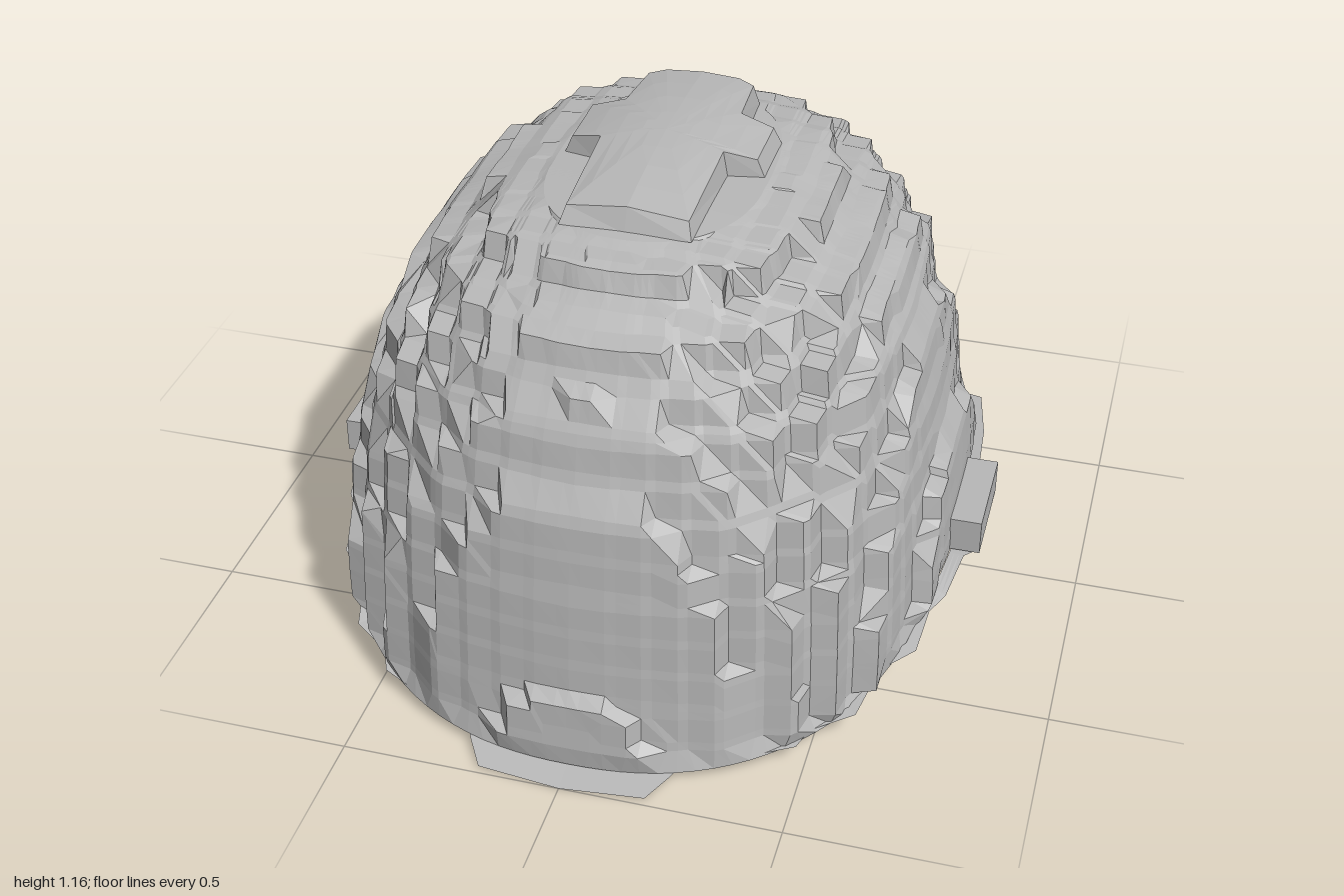
import * as THREE from 'three';

const MID = 0.11; // z of the dome axis
// height, half width, front z, back z (the last ring is open under the crown plate)
const PROFILE = [
  [0, 0.71, 0.94, -0.72], [0.2, 0.72, 0.92, -0.715], [0.4, 0.70, 0.90, -0.66],
  [0.6, 0.65, 0.87, -0.61], [0.8, 0.585, 0.80, -0.56], [0.95, 0.48, 0.71, -0.47],
  [1.05, 0.36, 0.56, -0.33], [1.085, 0.26, 0.47, -0.24], [1.09, 0.14, 0.42, -0.2],
];
// z, height of the lower edge
const EDGE = [[-1, 0.203], [-0.7, 0.217], [0, 0.23], [0.33, 0.21], [0.38, 0.17], [0.65, 0.07], [0.9, 0.02], [1, 0]];
// right half of the flared edge, front to back (x, z)
const BRIM = [
  [0, 1], [0.19, 0.985], [0.23, 0.92], [0.25, 0.88], [0.37, 0.84], [0.48, 0.79], [0.5, 0.74], [0.59, 0.68],
  [0.62, 0.56], [0.69, 0.5], [0.7, 0.4], [0.73, 0.36], [0.75, 0.24], [0.78, 0.21], [0.785, 0], [0.77, -0.1],
  [0.73, -0.12], [0.72, -0.25], [0.69, -0.4], [0.65, -0.41], [0.62, -0.5], [0.59, -0.62], [0.53, -0.79],
  [0.43, -0.805], [0.42, -0.88], [0.4, -0.96], [0.36, -0.985], [0.2, -1], [0, -1],
];
// right half of the crown plate, front to back (x, z)
const CROWN = [
  [0, 0.43], [0.14, 0.43], [0.145, 0.15], [0.22, 0.13], [0.22, -0.03], [0.14, -0.04], [0.13, -0.2], [0.09, -0.22], [0, -0.22],
];

const mirrored = (half) => [...half, ...half.slice(0, -1).reverse().map(([x, z]) => [-x, z])];

function edgeHeight(z) {
  for (let i = 1; i < EDGE.length; i++) {
    const [z0, y0] = EDGE[i - 1], [z1, y1] = EDGE[i];
    if (z <= z1) return y0 + (y1 - y0) * Math.max(0, (z - z0) / (z1 - z0));
  }
  return 0;
}

function profileAt(v) {
  const i = Math.min(Math.floor(v), PROFILE.length - 2);
  return PROFILE[i].map((p, k) => p + (PROFILE[i + 1][k] - p) * (v - i));
}

// Distance factor from the axis to the dome wall along (dx, dz)
function reach(dx, dz, v) {
  const [, side, front, back] = profileAt(v);
  const n = dz > 0 ? 2.3 : 2.5;
  const depth = dz > 0 ? front - MID : MID - back;
  return Math.pow(Math.pow(Math.abs(dx) / side, n) + Math.pow(Math.abs(dz) / depth, n), -1 / n);
}

// Pull a coordinate part of the way to a block grid, for the stepped surface
const step = (c, size, pull) => c + pull * (Math.sign(c) * Math.round(Math.abs(c) / size) * size - c);

function gridGeometry(rows, columns, pointAt) {
  const points = [], faces = [];
  for (let r = 0; r <= rows; r++) {
    for (let c = 0; c <= columns; c++) {
      points.push(...pointAt(r, c));
      if (r < rows && c < columns) {
        const a = r * (columns + 1) + c, b = a + columns + 1;
        faces.push(a, a + 1, b, a + 1, b + 1, b);
      }
    }
  }
  const geometry = new THREE.BufferGeometry();
  geometry.setAttribute('position', new THREE.Float32BufferAttribute(points, 3));
  geometry.setIndex(faces);
  geometry.computeVertexNormals();
  return geometry;
}

export function createModel() {
  const group = new THREE.Group();
  const grey = new THREE.MeshStandardMaterial({ color: 0xb8b8b8 });
  grey.name = 'shellGrey';
  grey.side = THREE.DoubleSide;
  grey.flatShading = true;
  const add = (name, geometry) => {
    const mesh = new THREE.Mesh(geometry, grey);
    mesh.name = name;
    group.add(mesh);
    return mesh;
  };

  // Hollow dome, blockiest on the diagonals
  const rows = 40, columns = 128;
  add('domeShell', gridGeometry(rows, columns, (r, c) => {
    const angle = (c / columns) * Math.PI * 2;
    const dx = Math.sin(angle), dz = Math.cos(angle);
    const low = edgeHeight(MID + dz * reach(dx, dz, 1));
    const start = low / 0.2;
    const v = start + (PROFILE.length - 1 - start) * (r / rows);
    const y = profileAt(v)[0], d = reach(dx, dz, v);
    if (r === 0 || v > 7) return [dx * d, y, MID + dz * d];
    const pull = 0.3 + 0.25 * Math.abs(Math.sin(2 * angle));
    return [step(dx * d, 0.08, pull), Math.max(low, step(y, 0.09, pull)), step(MID + dz * d, 0.08, pull)];
  }));

  // Thin flared edge with the long rear peak, its ends slightly dished
  const outline = mirrored(BRIM);
  add('brim', gridGeometry(3, outline.length - 1, (r, c) => {
    const [x, z] = outline[c];
    const inner = Math.min(0.98, reach(x, z - MID, 1));
    const k = inner + (1 - inner) * (r / 3);
    const px = x * k, pz = MID + (z - MID) * k;
    return [px, edgeHeight(pz) + 0.06 * px * px * pz * pz, pz];
  }));

  // Raised cross-shaped crown plate: sloping walls, then an arched top in rings
  const crown = mirrored(CROWN);
  add('crownPlate', gridGeometry(5, crown.length - 1, (r, c) => {
    const [x, z] = crown[c];
    if (r === 0) return [x * 1.05, 1.085, MID + (z - MID) * 1.04];
    const k = 0.97 * (1 - (r - 1) / 4);
    const px = x * k, pz = MID + (z - MID) * k;
    return [px, 1.165 - 0.8 * px * px - 0.2 * (pz - 0.05) ** 2, pz];
  }));

  // Small blocks over each side
  for (const side of [-1, 1]) {
    const block = add(side > 0 ? 'leftSideBlock' : 'rightSideBlock', new THREE.BoxGeometry(0.08, 0.085, 0.25));
    block.position.set(side * 0.744, 0.267, 0.105);
  }
  return group;
}
